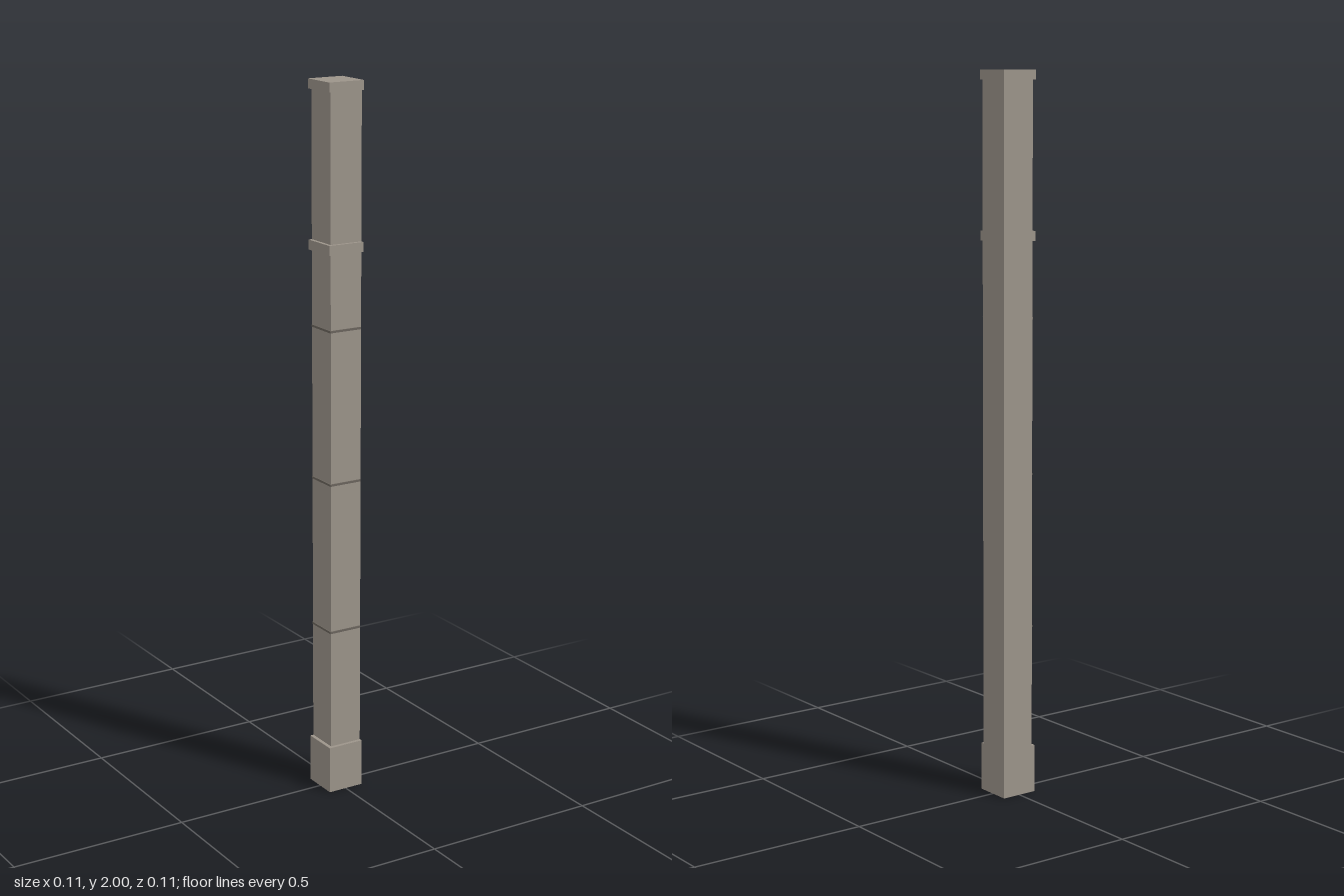
import * as THREE from 'three';

const HALF = 0.053; // the flush faces lie at x = +HALF and z = -HALF

// Box held against the flush corner; reach is how far it extends to -x and +z
function cornerBox(name, y0, y1, reach, material, inset = 0) {
  const size = HALF + reach - inset;
  const geometry = new THREE.BoxGeometry(size, y1 - y0, size);
  const mesh = new THREE.Mesh(geometry, material);
  const offset = (HALF - inset - reach) / 2;
  mesh.position.set(offset, (y0 + y1) / 2, -offset);
  mesh.name = name;
  return mesh;
}

export function createModel() {
  const group = new THREE.Group();
  group.name = 'cornerPilaster';

  const stone = new THREE.MeshStandardMaterial({ color: 0x9c948a, side: THREE.DoubleSide });
  stone.name = 'warm grey stone';
  const joint = new THREE.MeshStandardMaterial({ color: 0x6b655d });
  joint.name = 'dark joint';

  // Stacked sections: name, bottom, top, reach
  const SHAFT = 0.043;
  const sections = [
    ['base', 0, 0.135, HALF],
    ['lowerShaft', 0.135, 1.545, SHAFT],
    ['collar', 1.545, 1.572, HALF],
    ['upperShaft', 1.572, 1.974, SHAFT],
    ['cap', 1.974, 2, HALF],
  ];
  for (const [name, y0, y1, reach] of sections) {
    group.add(cornerBox(name, y0, y1, reach, stone));
  }

  // The base is open underneath: drop the two bottom triangles
  const base = group.getObjectByName('base').geometry;
  const index = Array.from(base.index.array);
  index.splice(18, 6);
  base.setIndex(index);
  base.clearGroups();

  // Thin joint lines, proud of the two outer faces only
  [0.478, 0.907, 1.336].forEach((y, i) => {
    group.add(cornerBox(`jointLine${i + 1}`, y - 0.003, y + 0.003, 0.046, joint, 0.002));
  });

  return group;
}
